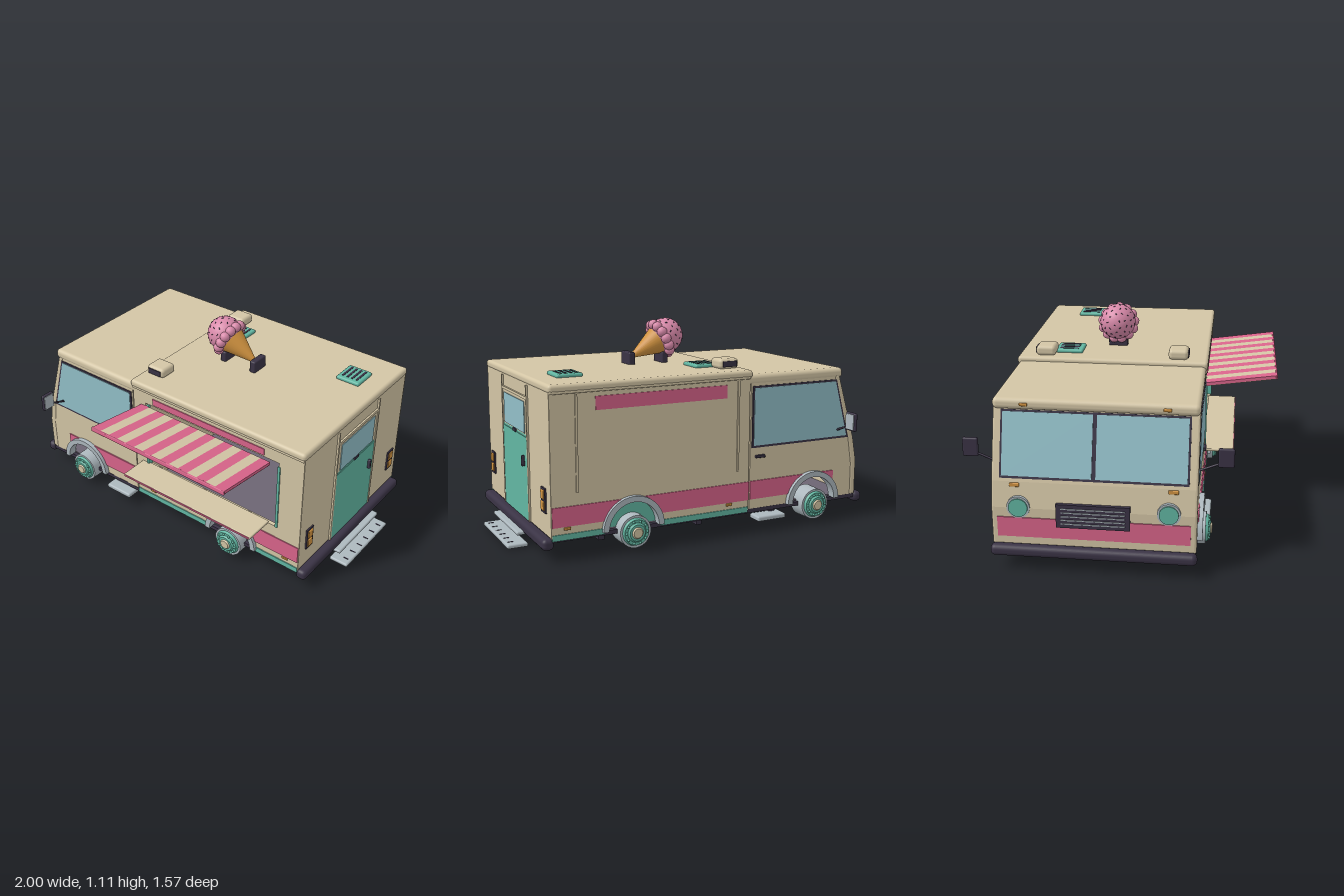
import * as THREE from 'three';
import { RoundedBoxGeometry } from 'three/addons/geometries/RoundedBoxGeometry.js';

const mat = (name, color) => {
  const m = new THREE.MeshStandardMaterial({ color });
  m.name = name;
  return m;
};

export function createModel() {
  const root = new THREE.Group();
  root.name = 'iceCreamTruck';
  const cream = mat('cream', 0xd3c5a5), pink = mat('pink', 0xd8648a), teal = mat('teal', 0x62b6a2),
    dark = mat('darkPurple', 0x3a3345), glass = mat('glass', 0x92bfc8), grey = mat('paleGrey', 0xadb8be),
    orange = mat('waffleOrange', 0xd0923f), ice = mat('strawberry', 0xd98aaa), floorMat = mat('floorGrey', 0x6c6472);

  const add = (name, geo, m, x = 0, y = 0, z = 0, parent = root) => {
    const mesh = new THREE.Mesh(geo, m);
    mesh.name = name;
    mesh.position.set(x, y, z);
    parent.add(mesh);
    return mesh;
  };
  // box given by its limits, optionally rounded
  const box = (name, m, x0, x1, y0, y1, z0, z1, r = 0, parent = root) => {
    const w = x1 - x0, h = y1 - y0, d = Math.abs(z1 - z0);
    const geo = r ? new RoundedBoxGeometry(w, h, d, 3, r) : new THREE.BoxGeometry(w, h, d);
    return add(name, geo, m, (x0 + x1) / 2, (y0 + y1) / 2, (z0 + z1) / 2, parent);
  };
  const poly = pts => new THREE.Shape(pts.map(p => new THREE.Vector2(p[0], p[1])));
  // z at distance d outside the side wall s (+1 serving side, -1 other side)
  const ZC = -0.1075, HALF = 0.5075;
  const sz = (s, d) => ZC + s * (HALF + d);
  const plate = (name, m, shape, s, d0, d1) => add(name,
    new THREE.ExtrudeGeometry(shape, { depth: Math.abs(d1 - d0), bevelEnabled: false, curveSegments: 24 }),
    m, 0, 0, Math.min(sz(s, d0), sz(s, d1)));
  const sideBox = (name, m, s, x0, x1, y0, y1, d0, d1, r) => box(name, m, x0, x1, y0, y1, sz(s, d0), sz(s, d1), r);

  const WHEELS = [-0.65, 0.435], R = 0.15, AY = 0.12;
  const half = y => Math.sqrt(R * R - (y - AY) ** 2);
  // stripe piece from a straight end x0 to the curved edge of a wheel arch
  const stripe = (x0, cx, dir) => {
    const pts = [[x0, 0.175]];
    for (let i = 0; i <= 8; i++) {
      const y = 0.175 + Math.min(i * 0.0125, 0.0945);
      pts.push([cx + dir * half(y), y]);
    }
    pts.push([cx + dir * 0.04, 0.275], [x0, 0.275]);
    return poly(pts);
  };

  // chassis
  box('underbody', dark, -0.94, 0.86, 0.1, 0.122, -0.612, 0.397);
  box('floor', floorMat, -0.92, 0.845, 0.122, 0.13, -0.59, 0.375);
  for (const z of [0.18, -0.39]) box('chassisRail', dark, -0.87, 0.79, 0.03, 0.085, z - 0.024, z + 0.024, 0.01);
  for (const x of [-0.4, 0.05, 0.6]) box('crossMember', dark, x - 0.015, x + 0.015, 0.075, 0.102, -0.6, 0.38);
  box('frontBumper', dark, -1, -0.94, 0.07, 0.13, -0.62, 0.405, 0.026);
  box('rearBumper', dark, 0.85, 0.91, 0.062, 0.12, -0.615, 0.4, 0.022);

  // rear steps
  box('upperStep', grey, 0.86, 0.945, 0.06, 0.08, -0.315, 0.1, 0.008);
  box('lowerStep', grey, 0.89, 1, 0, 0.022, -0.33, 0.112, 0.009);
  for (let i = 0; i < 6; i++)
    box('stepTread', dark, 0.955, 0.985, 0.021, 0.024, -0.285 + i * 0.07, -0.279 + i * 0.07);

  // side walls of cab and body
  for (const s of [1, -1]) {
    const cab = new THREE.Shape();
    cab.moveTo(-0.94, 0.12);
    cab.lineTo(-0.65 - R, AY);
    cab.absarc(-0.65, AY, R, Math.PI, 0, true);
    [[-0.249, 0.12], [-0.249, 0.81], [-0.81, 0.81], [-0.915, 0.45], [-0.94, 0.3]].forEach(p => cab.lineTo(...p));
    plate('cabSide', cream, cab, s, -0.03, -0.004);

    const body = new THREE.Shape();
    body.moveTo(-0.24, 0.12);
    body.lineTo(0.435 - R, AY);
    body.absarc(0.435, AY, R, Math.PI, 0, true);
    [[0.865, 0.12], [0.865, 0.84], [-0.24, 0.84]].forEach(p => body.lineTo(...p));
    if (s > 0) body.holes.push(poly([[-0.155, 0.345], [-0.155, 0.755], [0.72, 0.755], [0.72, 0.345]]));
    plate('bodySide', cream, body, s, -0.022, 0);

    // painted bands
    plate('cabStripe', pink, stripe(-0.79, -0.65, -1), s, -0.004, 0.002);
    plate('cabStripe', pink, stripe(-0.25, -0.65, 1), s, -0.004, 0.002);
    plate('bodyStripe', pink, stripe(-0.24, 0.435, -1), s, 0, 0.005);
    plate('bodyStripe', pink, stripe(0.862, 0.435, 1), s, 0, 0.005);
    sideBox('upperStripe', pink, s, -0.1, 0.63, s > 0 ? 0.765 : 0.735, 0.803, 0, 0.005);
    sideBox('skirt', teal, s, -0.235, 0.28, 0.108, 0.138, -0.01, 0.005);
    sideBox('skirt', teal, s, 0.59, 0.862, 0.108, 0.138, -0.01, 0.005);
    for (const x of [-0.12, 0.785]) sideBox('sideMarker', orange, s, x - 0.018, x + 0.018, 0.158, 0.172, 0, 0.008, 0.003);
    sideBox('gutter', cream, s, -0.24, 0.865, 0.825, 0.84, -0.01, 0.008, 0.005);

    // cab window and door
    plate('windowSeal', dark, poly([[-0.885, 0.455], [-0.258, 0.455], [-0.258, 0.785], [-0.795, 0.785]]), s, -0.004, 0.001);
    plate('sideWindow', glass, poly([[-0.87, 0.467], [-0.268, 0.467], [-0.268, 0.775], [-0.787, 0.775]]), s, 0.001, 0.004);
    sideBox('doorHandle', dark, s, -0.335, -0.278, 0.4, 0.416, -0.002, 0.014, 0.004);
    sideBox('cabStep', grey, s, -0.45, -0.275, 0.06, 0.088, -0.04, 0.05, 0.01);

    // wheels and mudguards
    for (const x of WHEELS) {
      const arch = new THREE.Shape();
      arch.absarc(x, AY, 0.167, 0, Math.PI, false);
      arch.absarc(x, AY, 0.137, Math.PI, 0, true);
      plate('mudguard', grey, arch, s, -0.03, 0.022);
      const wheel = new THREE.Group();
      wheel.name = 'wheel';
      wheel.position.set(x, 0.107, sz(s, 0));
      wheel.rotation.x = s * Math.PI / 2;
      root.add(wheel);
      const disc = (name, m, r0, r1, y0, y1) =>
        add(name, new THREE.CylinderGeometry(r1, r0, y1 - y0, 32), m, 0, (y0 + y1) / 2, 0, wheel);
      disc('tyre', grey, 0.087, 0.084, -0.07, 0.034);
      disc('rim', teal, 0.074, 0.066, 0.03, 0.048);
      disc('hubPlate', teal, 0.05, 0.042, 0.048, 0.058);
      disc('hubCap', cream, 0.03, 0.024, 0.058, 0.066);
      for (let i = 0; i < 10; i++) {
        const a = i * Math.PI / 5;
        add('wheelNut', new THREE.SphereGeometry(0.007, 8, 6), teal, 0.057 * Math.cos(a), 0.05, 0.057 * Math.sin(a), wheel);
      }
    }

    // mirrors
    const arm = new THREE.LineCurve3(new THREE.Vector3(-0.81, 0.5, sz(s, -0.01)), new THREE.Vector3(-0.803, 0.55, sz(s, 0.12)));
    add('mirrorArm', new THREE.TubeGeometry(arm, 1, 0.006, 8), dark);
    sideBox('mirrorHousing', dark, s, -0.815, -0.794, 0.522, 0.622, 0.088, 0.168, 0.009);
    sideBox('mirrorFace', grey, s, -0.796, -0.79, 0.53, 0.614, 0.095, 0.161);

    // roof speakers
    const z = s > 0 ? 0.248 : -0.472;
    box('speaker', cream, -0.225, -0.11, 0.87, 0.925, z - 0.053, z + 0.053, 0.02);
    box('speakerMouth', dark, -0.208, -0.128, 0.882, 0.912, z + s * 0.05, z + s * 0.057);
  }

  // cab front shell
  const front = poly([[-0.95, 0.12], [-0.91, 0.12], [-0.91, 0.3], [-0.885, 0.45], [-0.78, 0.81], [-0.815, 0.81], [-0.925, 0.45], [-0.95, 0.32]]);
  const frontGeo = new THREE.ExtrudeGeometry(front, { depth: 0.99, bevelThickness: 0.012, bevelSize: 0.012, bevelOffset: -0.012, bevelSegments: 3 });
  add('cabFront', frontGeo, cream, 0, 0, ZC - 0.495);
  box('frontStripe', pink, -0.955, -0.949, 0.165, 0.27, -0.585, 0.37);
  box('grille', dark, -0.962, -0.94, 0.23, 0.355, -0.29, 0.075);
  for (let i = 0; i < 5; i++) box('grilleBar', grey, -0.966, -0.96, 0.25 + i * 0.02, 0.255 + i * 0.02, -0.265, 0.05);
  for (const s of [1, -1]) {
    const lamp = (name, m, r, x) => {
      add(name, new THREE.CylinderGeometry(r, r, 0.02, 28), m, x, 0.325, ZC + s * 0.37).rotation.z = Math.PI / 2;
    };
    lamp('headlightRim', grey, 0.058, -0.945);
    lamp('headlight', teal, 0.048, -0.952);
    box('indicator', orange, -0.935, -0.915, 0.425, 0.445, ZC + s * 0.39 - 0.025, ZC + s * 0.39 + 0.025, 0.005);
    box('roofMarker', orange, -0.845, -0.825, 0.812, 0.828, ZC + s * 0.35 - 0.02, ZC + s * 0.35 + 0.02, 0.005);
  }
  // windscreen
  const screen = new THREE.Group();
  screen.name = 'windscreen';
  screen.position.set(-0.87, 0.63, ZC);
  screen.rotation.z = -0.297;
  root.add(screen);
  box('windscreenSeal', dark, -0.005, 0.004, -0.172, 0.165, -0.465, 0.465, 0, screen);
  for (const s of [1, -1]) {
    box('windscreenPane', glass, -0.009, -0.004, -0.16, 0.155, Math.min(s * 0.01, s * 0.455), Math.max(s * 0.01, s * 0.455), 0, screen);
  }

  // roofs and end walls
  box('cabRoof', cream, -0.838, -0.2, 0.79, 0.848, -0.615, 0.4, 0.024);
  box('bodyRoof', cream, -0.255, 0.87, 0.828, 0.872, -0.623, 0.408, 0.018);
  box('partition', cream, -0.24, -0.222, 0.12, 0.84, -0.6, 0.385);
  box('rearWall', cream, 0.845, 0.868, 0.12, 0.84, -0.612, 0.397, 0.008);

  // rear door and tail lights
  for (const z of [0.095, -0.31]) box('doorPost', cream, 0.865, 0.878, 0.125, 0.828, z - 0.006, z + 0.006);
  box('doorLintel', cream, 0.865, 0.878, 0.755, 0.77, -0.31, 0.095);
  box('rearDoor', teal, 0.862, 0.876, 0.125, 0.56, -0.302, 0.088);
  box('rearDoorSill', teal, 0.862, 0.872, 0.56, 0.572, -0.302, 0.088);
  box('rearWindowFrame', cream, 0.865, 0.874, 0.572, 0.755, -0.302, 0.088);
  box('rearWindow', glass, 0.87, 0.878, 0.578, 0.74, -0.275, 0.062);
  box('rearLatch', dark, 0.87, 0.88, 0.558, 0.575, -0.13, -0.085);
  box('rearHandle', dark, 0.874, 0.892, 0.405, 0.462, -0.265, -0.248, 0.005);
  for (const z of [0.315, -0.53]) {
    box('tailLightFrame', dark, 0.866, 0.876, 0.235, 0.36, z - 0.03, z + 0.03);
    for (const y of [0.247, 0.303]) box('tailLight', orange, 0.87, 0.882, y, y + 0.046, z - 0.021, z + 0.021, 0.004);
  }

  // trim around the closed panel on the far side
  for (const x of [-0.17, 0.73]) sideBox('panelTrim', cream, -1, x - 0.006, x + 0.006, 0.34, 0.82, 0, 0.006);

  // serving hatch
  for (const x of [-0.158, 0.715]) box('hatchTrim', teal, x, x + 0.014, 0.345, 0.735, 0.372, 0.406);
  box('servingShelf', cream, -0.195, 0.668, 0.337, 0.353, 0.39, 0.56, 0.006);
  box('shelfEdge', pink, -0.19, 0.662, 0.34, 0.35, 0.556, 0.563);
  const awning = new THREE.Group();
  awning.name = 'awning';
  awning.position.set(0, 0.727, 0.4);
  awning.rotation.x = -0.144;
  root.add(awning);
  const w = 0.85 / 15;
  for (let i = 0; i < 15; i++)
    box('awningStripe', i % 2 ? cream : pink, -0.185 + i * w, -0.185 + (i + 1) * w, -0.007, 0.01, 0, 0.38, 0, awning);
  box('awningLining', cream, -0.182, 0.662, -0.011, -0.007, 0, 0.378, 0, awning);
  box('awningLip', pink, -0.188, 0.668, -0.011, 0.012, 0.376, 0.386, 0.004, awning);

  // interior counter with ice creams, glasses and a mixer
  box('counter', teal, -0.15, 0.65, 0.13, 0.365, -0.59, -0.42);
  box('counterTop', cream, -0.155, 0.655, 0.355, 0.367, -0.59, -0.41);
  box('coneRack', teal, -0.02, 0.62, 0.367, 0.385, -0.54, -0.46);
  [0, 1, 2, 3].forEach(n => {
    const x = 0.14 + n * 0.105;
    add('displayCone', new THREE.ConeGeometry(0.016, 0.05, 16), orange, x, 0.405, -0.5).rotation.x = Math.PI;
    for (let k = 0; k < n; k++)
      add('displayScoop', new THREE.SphereGeometry(0.021, 16, 12), [ice, cream, dark][k], x, 0.437 + k * 0.029, -0.5);
  });
  for (const x of [0.04, 0.54, 0.6]) {
    add('glassStem', new THREE.CylinderGeometry(0.004, 0.01, 0.03, 10), pink, x, 0.393, -0.5);
    add('glassBowl', new THREE.CylinderGeometry(0.018, 0.006, 0.016, 14), grey, x, 0.41, -0.5);
  }
  box('mixerBase', dark, -0.15, -0.085, 0.367, 0.4, -0.55, -0.46, 0.01);
  add('mixerBowl', new THREE.SphereGeometry(0.035, 18, 12), dark, -0.12, 0.435, -0.5);
  box('mixerHead', dark, -0.15, -0.088, 0.46, 0.515, -0.55, -0.46, 0.014);

  // roof vents
  for (const x of [-0.09, 0.685]) {
    box('roofVent', teal, x - 0.07, x + 0.07, 0.868, 0.89, -0.43, -0.28, 0.01);
    for (let i = 0; i < 4; i++) {
      const v = x - 0.042 + i * 0.028;
      box('ventSlot', dark, v - 0.006, v + 0.006, 0.887, 0.892, -0.41, -0.305);
    }
  }

  // giant ice cream lying on its stands; local +y runs from cone tip to scoop
  const cone = new THREE.Group();
  cone.name = 'giantIceCream';
  cone.position.set(0, 1.015, -0.105);
  cone.rotation.z = Math.atan2(0.89, 0.455);
  root.add(cone);
  add('scoop', new THREE.SphereGeometry(0.097, 32, 24), ice, 0, 0, 0, cone);
  add('waffleCone', new THREE.ConeGeometry(0.083, 0.215, 32), orange, 0, -0.148, 0, cone).rotation.x = Math.PI;
  for (let i = 0; i < 13; i++) {
    const a = i * Math.PI * 2 / 13;
    add('scoopLump', new THREE.SphereGeometry(0.028, 14, 10), ice, 0.088 * Math.cos(a), -0.035, 0.088 * Math.sin(a), cone);
  }
  for (let i = 0; i < 48; i++) {
    const y = 0.98 - i * 0.021, r = Math.sqrt(1 - y * y), a = i * 2.4;
    const n = new THREE.Vector3(r * Math.cos(a), y, r * Math.sin(a));
    const bit = add('sprinkle', new THREE.CapsuleGeometry(0.0025, 0.008, 2, 6), dark, 0, 0, 0, cone);
    bit.position.copy(n).multiplyScalar(0.097);
    const tangent = new THREE.Vector3(Math.cos(i * 1.7), Math.sin(i * 1.7), 0.4).cross(n).normalize();
    bit.quaternion.setFromUnitVectors(new THREE.Vector3(0, 1, 0), tangent);
  }
  box('tipStand', dark, 0.205, 0.242, 0.868, 0.938, -0.158, -0.052, 0.008);
  box('scoopStand', dark, 0.008, 0.044, 0.868, 0.93, -0.158, -0.052, 0.008);
  return root;
}
